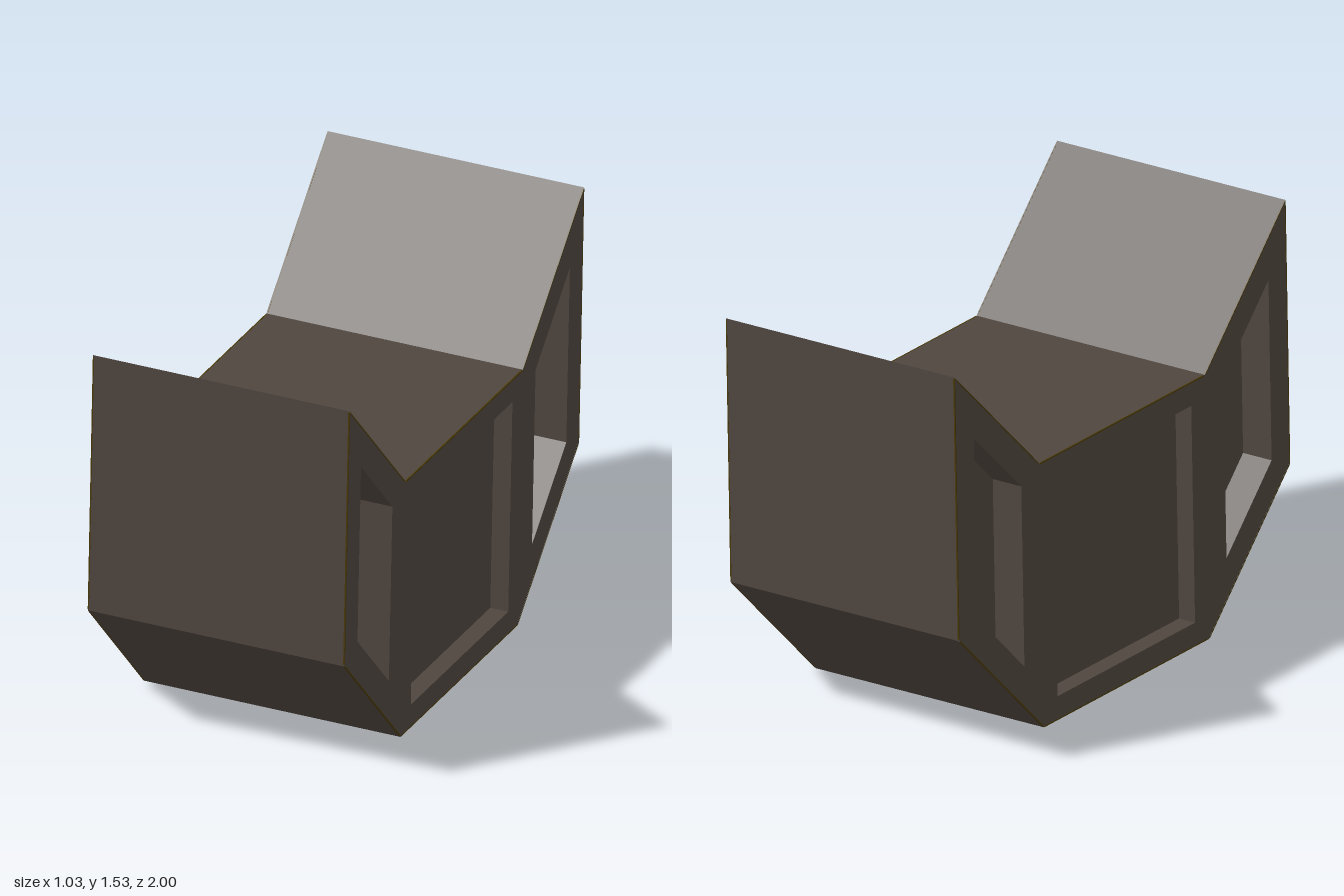
import * as THREE from 'three';

// Body outline as (z, y) pairs: a flat middle with two upswept wings
const OUTLINE = [[-0.5, 0], [0.5, 0], [1, 0.5], [1, 1.51], [0.5, 1.01], [-0.5, 1.01], [-1, 1.51], [-1, 0.5]];
const MIDDLE_PANEL = [[-0.415, 0.09], [0.415, 0.09], [0.415, 0.92], [-0.415, 0.92]];
const WING_PANEL = [[0.61, 0.27], [0.89, 0.55], [0.89, 1.24], [0.61, 0.96]];
const HALF = 0.5;          // half width
const WING_DEPTH = 0.125;  // recess depth in the wings
const MIDDLE_DEPTH = 0.07; // recess depth in the middle

const points = (pairs) => pairs.map(([z, y]) => new THREE.Vector2(z, y));

export function createModel() {
  const brown = new THREE.MeshStandardMaterial({ color: 0x4f463f });
  brown.name = 'dark brown';
  const olive = new THREE.MeshStandardMaterial({ color: 0x4a3a08 });
  olive.name = 'olive edge';

  const model = new THREE.Group();
  model.name = 'upsweptBlock';
  const body = new THREE.Group();
  body.name = 'body';
  body.position.set(-0.015, 0.01, 0);
  body.rotation.z = -0.02;
  model.add(body);

  // Extrude a (z, y) shape along x, from x0 over the given width
  function slab(name, pairs, holes, x0, width) {
    const shape = new THREE.Shape(points(pairs));
    holes.forEach((h) => shape.holes.push(new THREE.Path(points(h))));
    const geometry = new THREE.ExtrudeGeometry(shape, { depth: width, bevelEnabled: false });
    geometry.rotateY(Math.PI / 2); // the outline is symmetric in z
    geometry.translate(x0, 0, 0);
    const mesh = new THREE.Mesh(geometry, brown);
    mesh.name = name;
    body.add(mesh);
  }

  // Solid core behind the recesses
  slab('core', OUTLINE, [], -HALF + WING_DEPTH, 2 * (HALF - WING_DEPTH));

  const mirrored = WING_PANEL.map(([z, y]) => [-z, y]).reverse();
  for (const side of [1, -1]) {
    const label = side > 0 ? 'left' : 'right';
    // Side frame with three recessed openings
    slab(label + 'SideFrame', OUTLINE, [MIDDLE_PANEL, WING_PANEL, mirrored],
      side > 0 ? HALF - WING_DEPTH : -HALF, WING_DEPTH);
    // Shallower floor of the middle recess
    const floor = WING_DEPTH - MIDDLE_DEPTH;
    slab(label + 'MiddlePanel', MIDDLE_PANEL, [],
      side > 0 ? HALF - WING_DEPTH : -HALF + MIDDLE_DEPTH, floor);

    // Hair-thin worn edges around the side outline
    OUTLINE.forEach(([z0, y0], i) => {
      const [z1, y1] = OUTLINE[(i + 1) % OUTLINE.length];
      const length = Math.hypot(z1 - z0, y1 - y0);
      const nz = (y1 - y0) / length, ny = -(z1 - z0) / length;
      const edge = new THREE.Mesh(new THREE.BoxGeometry(0.005, 0.005, length - 0.01), olive);
      edge.name = label + 'WornEdge';
      edge.position.set(side * (HALF - 0.002), (y0 + y1) / 2 - ny * 0.002, (z0 + z1) / 2 - nz * 0.002);
      edge.rotation.x = -Math.atan2(y1 - y0, z1 - z0);
      body.add(edge);
    });
  }
  return model;
}
